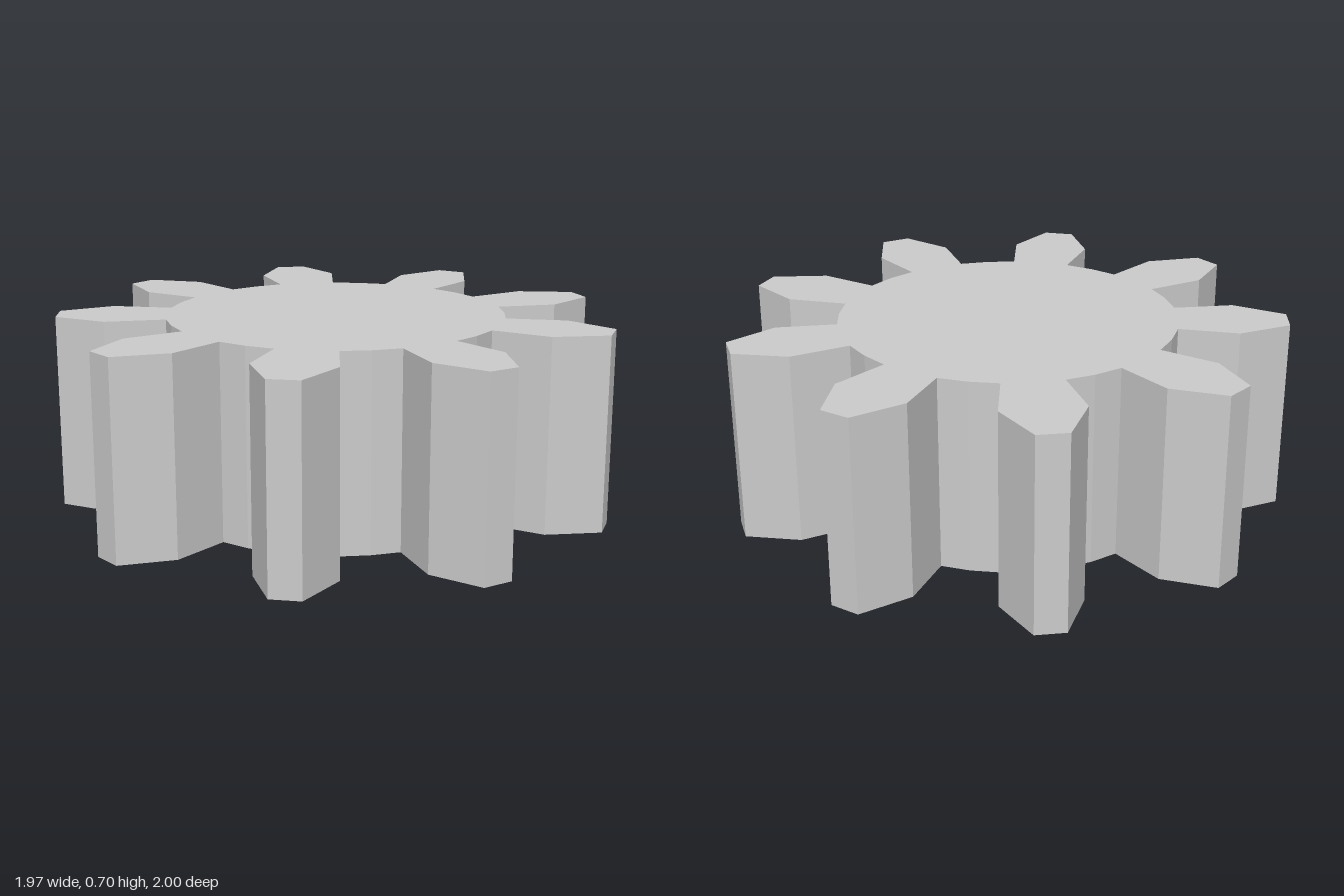
import * as THREE from 'three';

const TEETH = 9;
const HEIGHT = 0.705;
const CENTRE_X = 0.019;
const ROOT_RADIUS = 0.613;

// One tooth in its own frame: [distance from the axis, sideways offset]
const TOOTH = [
  [0.604, -0.107], [0.819, -0.143], [1.004, -0.055],
  [1.004, 0.055], [0.819, 0.143], [0.604, 0.107],
];

function gearShape() {
  const points = [];
  for (let i = 0; i < TEETH; i++) {
    // The first tooth points towards -x
    const angle = Math.PI + (i * 2 * Math.PI) / TEETH;
    const c = Math.cos(angle), s = Math.sin(angle);
    for (const [r, t] of TOOTH) points.push(new THREE.Vector2(r * c - t * s, r * s + t * c));
    // Middle of the rounded gap before the next tooth
    const gap = angle + Math.PI / TEETH;
    points.push(new THREE.Vector2(ROOT_RADIUS * Math.cos(gap), ROOT_RADIUS * Math.sin(gap)));
  }
  return new THREE.Shape(points);
}

export function createModel() {
  const group = new THREE.Group();
  group.name = 'gear';

  // Solid gear body, extruded upwards from the ground
  const geometry = new THREE.ExtrudeGeometry(gearShape(), { depth: HEIGHT, bevelEnabled: false });
  geometry.rotateX(-Math.PI / 2);
  const material = new THREE.MeshStandardMaterial({ color: 0xcccccc, flatShading: true });
  const body = new THREE.Mesh(geometry, material);
  body.name = 'toothedBody';
  body.position.x = CENTRE_X;
  group.add(body);

  return group;
}
